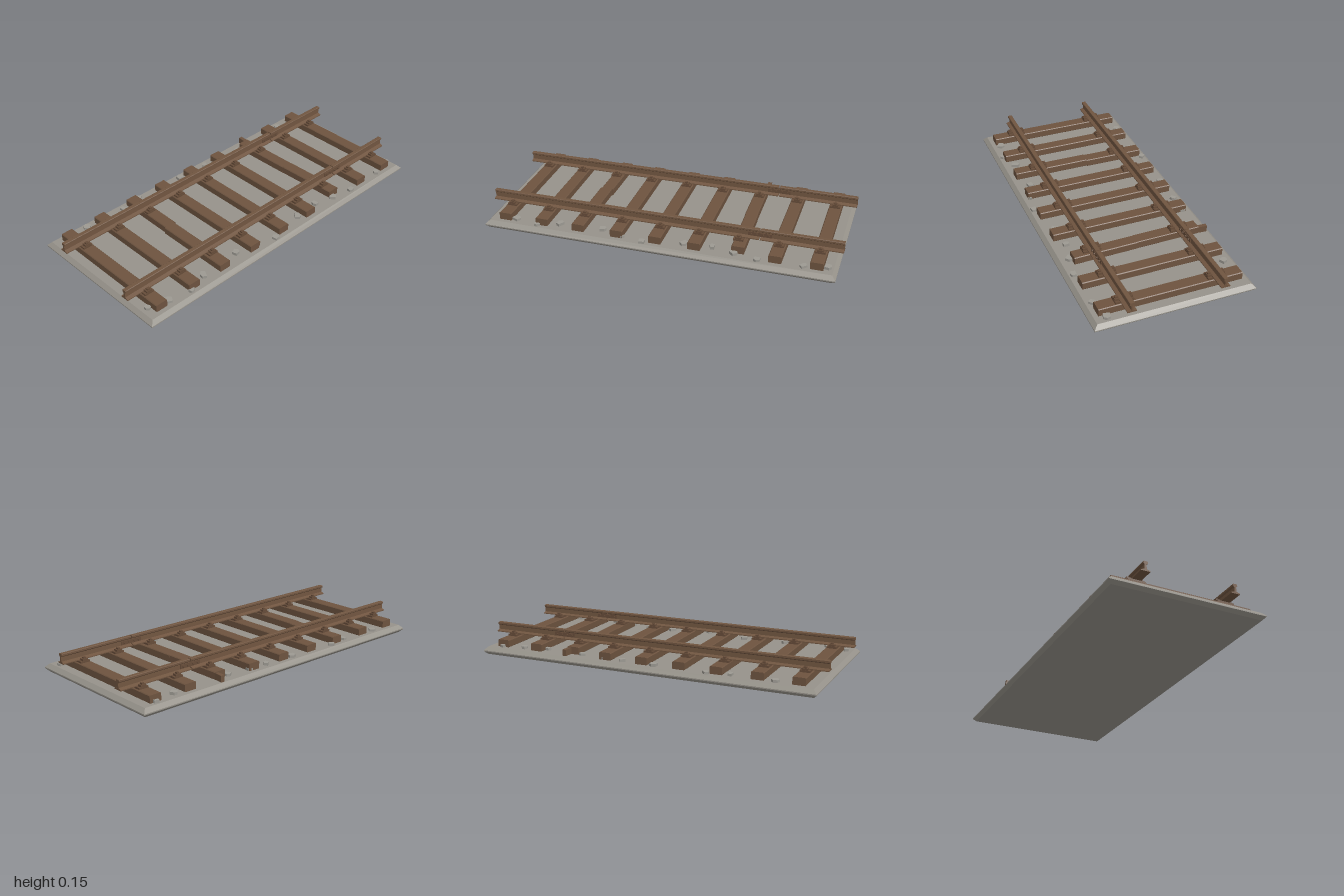
import * as THREE from 'three';

const mat = (name, color) => {
  const m = new THREE.MeshStandardMaterial({ color });
  m.name = name;
  return m;
};

export function createModel() {
  const bedMat = mat('gravel bed grey', 0x96928a);
  const stoneMat = mat('loose stone grey', 0x9c9992);
  const woodMat = mat('sleeper brown', 0x6d533f);
  const railMat = mat('rusty rail brown', 0x705540);
  const ironMat = mat('fastening brown', 0x664c39);
  const model = new THREE.Group();
  model.name = 'railwayTrack';

  const add = (parent, name, geo, material, x = 0, y = 0, z = 0) => {
    const m = new THREE.Mesh(geo, material);
    m.name = name;
    m.position.set(x, y, z);
    parent.add(m);
    return m;
  };
  const box = (w, h, d) => new THREE.BoxGeometry(w, h, d);
  const shapeOf = (pts) => new THREE.Shape(pts.map(([x, y]) => new THREE.Vector2(x, y)));
  // prism along z, centred
  const prism = (pts, length) =>
    new THREE.ExtrudeGeometry(shapeOf(pts), { depth: length, bevelEnabled: false }).translate(0, 0, -length / 2);

  // Gravel bed: rectangular rings [half width, height, half length] joined upwards
  const rings = [[0.424, 0, 0.968], [0.442, 0.018, 0.986], [0.442, 0.024, 0.986], [0.421, 0.045, 0.965]];
  const corners = rings.map(([x, y, z]) => [[-x, y, z], [x, y, z], [x, y, -z], [-x, y, -z]]);
  const pos = [];
  const quad = (a, b, c, d) => pos.push(...a, ...b, ...c, ...a, ...c, ...d);
  for (let r = 0; r < 3; r++) {
    for (let i = 0; i < 4; i++) {
      const j = (i + 1) % 4;
      quad(corners[r][i], corners[r][j], corners[r + 1][j], corners[r + 1][i]);
    }
  }
  quad(...corners[3]);
  quad(...[...corners[0]].reverse());
  const bedGeo = new THREE.BufferGeometry();
  bedGeo.setAttribute('position', new THREE.Float32BufferAttribute(pos, 3));
  bedGeo.computeVertexNormals();
  add(model, 'gravelBed', bedGeo, bedMat);

  // Sleepers: chamfered beams lying along x
  const c = 0.004, hw = 0.035, y0 = 0.043, y1 = 0.087;
  const section = [[-hw + c, y0], [hw - c, y0], [hw, y0 + c], [hw, y1 - c],
    [hw - c, y1], [-hw + c, y1], [-hw, y1 - c], [-hw, y0 + c]];
  const beam = (xa, xb) => prism(section, xb - xa).rotateY(Math.PI / 2).translate((xa + xb) / 2, 0, 0);
  const sleeperZ = [-0.88, -0.66, -0.44, -0.22, 0, 0.22, 0.44, 0.66, 0.88];
  sleeperZ.forEach((z, i) => {
    if (i === 2) {
      // broken sleeper, slightly twisted, with a splinter left behind
      add(model, 'brokenSleeperLeft', beam(0, 0.36), woodMat, 0, 0, z - 0.005).rotation.y = 0.022;
      add(model, 'brokenSleeperRight', beam(-0.365, 0), woodMat, 0, 0, z - 0.003).rotation.y = 0.014;
      add(model, 'splinter', box(0.06, 0.036, 0.022), woodMat, -0.387, 0.063, -0.461).rotation.y = -0.08;
    } else if (i === 6) {
      // cracked sleeper
      add(model, 'crackedSleeperLeft', beam(-0.05, 0.395), woodMat, 0, 0, z + 0.003).rotation.y = -0.004;
      add(model, 'crackedSleeperRight', beam(-0.395, -0.05), woodMat, 0, 0, z - 0.003).rotation.y = -0.012;
    } else {
      add(model, 'sleeper', beam(-0.395, 0.395), woodMat, 0, 0, z);
    }
  });

  // Rails: foot, web and head, with a small gap at the joint
  const half = [[0.025, 0.097], [0.025, 0.102], [0.006, 0.109], [0.005, 0.134],
    [0.0125, 0.14], [0.0125, 0.15], [0.01, 0.152]];
  const railProfile = [...half, ...half.map(([x, y]) => [-x, y]).reverse()];
  const jointZ = -0.55, gap = 0.003;
  const longRail = prism(railProfile, 1 - jointZ - gap);
  const shortRail = prism(railProfile, 1 + jointZ - gap);
  const plateGeo = box(0.1, 0.011, 0.056);
  const clipGeo = box(0.026, 0.012, 0.032);
  const nutGeo = box(0.015, 0.009, 0.015);
  const barGeo = box(0.006, 0.022, 0.13);
  const boltGeo = new THREE.CylinderGeometry(0.006, 0.006, 0.007, 6).rotateZ(Math.PI / 2);

  for (const side of [-1, 1]) {
    const rail = new THREE.Group();
    rail.name = side > 0 ? 'leftRail' : 'rightRail';
    rail.position.x = side * 0.253;
    model.add(rail);
    add(rail, 'longRail', longRail, railMat, 0, 0, (1 + jointZ + gap) / 2);
    add(rail, 'shortRail', shortRail, railMat, 0, 0, (-1 + jointZ - gap) / 2);
    // base plate with two clips on each sleeper
    for (const z of sleeperZ) {
      add(rail, 'basePlate', plateGeo, ironMat, 0, 0.0915, z);
      for (const s of [-1, 1]) {
        add(rail, 'clip', clipGeo, ironMat, s * 0.036, 0.102, z);
        add(rail, 'clipNut', nutGeo, ironMat, s * 0.037, 0.112, z);
      }
    }
    // joint bars bolted to both sides of the web
    for (const s of [-1, 1]) {
      add(rail, 'jointBar', barGeo, ironMat, s * 0.008, 0.122, jointZ);
      for (const dz of [-0.048, -0.018, 0.018, 0.048]) {
        add(rail, 'jointBolt', boltGeo, ironMat, s * 0.0145, 0.122, jointZ + dz);
      }
    }
  }

  // Loose stones along both edges: uneven five-sided chips
  const stoneGeo = prism([[-0.02, -0.013], [0.014, -0.017], [0.02, 0.006], [0.004, 0.017], [-0.017, 0.012]], 0.02)
    .rotateX(-Math.PI / 2);
  const stones = [
    [0.36, -0.935], [0.385, -0.81], [0.397, -0.565], [0.37, -0.435], [0.344, -0.31], [0.355, -0.155],
    [0.4, 0.07], [0.38, 0.2], [0.342, 0.315], [0.355, 0.565], [0.4, 0.685], [0.372, 0.82], [0.342, 0.93],
    [-0.39, -0.88], [-0.375, -0.75], [-0.345, -0.615], [-0.36, -0.38], [-0.375, -0.24], [-0.38, -0.12],
    [-0.387, 0.07], [-0.4, 0.38], [-0.375, 0.505], [-0.387, 0.755],
  ];
  stones.forEach(([x, z], i) => {
    const s = add(model, 'looseStone', stoneGeo, stoneMat, x, 0.051, z);
    s.rotation.y = i * 2.4;
    s.scale.set(1 + 0.15 * Math.sin(i * 3), 0.85 + 0.15 * Math.sin(i * 5), 1 + 0.2 * Math.cos(i * 4));
  });

  return model;
}
